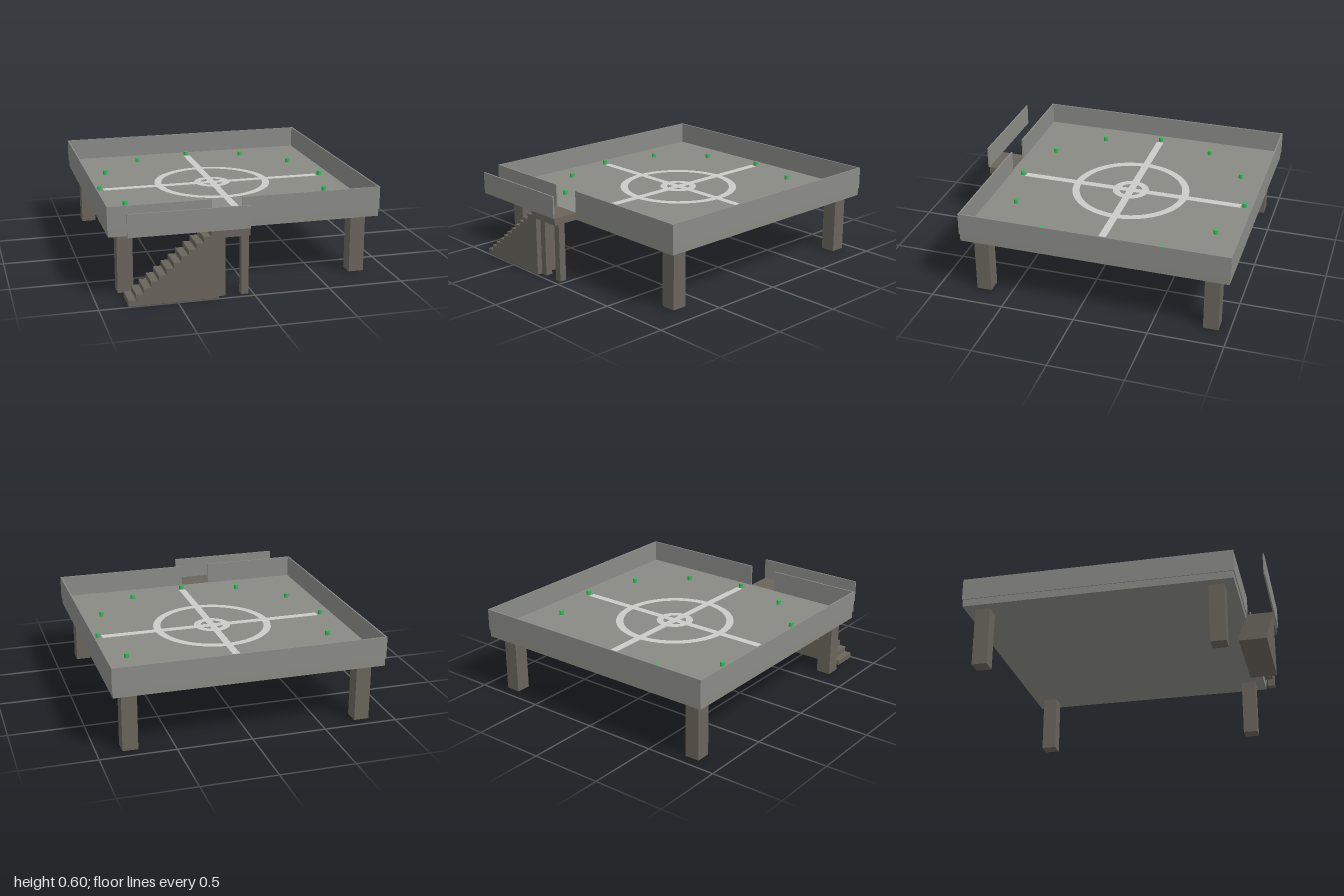
import * as THREE from 'three';

export function createModel() {
  const model = new THREE.Group();
  const mat = (name, color, side = THREE.FrontSide) => {
    const m = new THREE.MeshStandardMaterial({ color, side });
    m.name = name;
    return m;
  };
  const deckGrey = mat('deckGrey', 0x8a8a84);
  const wallGrey = mat('wallGrey', 0x8a8a87);
  const darkBrown = mat('darkBrown', 0x69655c);
  const paintWhite = mat('paintWhite', 0xcbcbc7);
  const pegGreen = mat('pegGreen', 0x3cb45f);

  // Box given by its minimum and maximum corners
  const box = (name, material, [x0, y0, z0], [x1, y1, z1], parent = model) => {
    const mesh = new THREE.Mesh(new THREE.BoxGeometry(x1 - x0, y1 - y0, z1 - z0), material);
    mesh.position.set((x0 + x1) / 2, (y0 + y1) / 2, (z0 + z1) / 2);
    mesh.name = name;
    parent.add(mesh);
    return mesh;
  };
  const group = (name) => {
    const g = new THREE.Group();
    g.name = name;
    model.add(g);
    return g;
  };

  const DECK = 0.45, UNDER = 0.4, TOP = 0.6, CZ = -0.093;
  const back = -1, front = 0.815, half = 0.905, t = 0.01;

  // Deck slab and its four legs
  box('deck', deckGrey, [-0.9, UNDER, back + 0.005], [0.9, DECK, front - 0.005]);
  const legs = group('legs');
  for (const sx of [-1, 1]) for (const sz of [-1, 1]) {
    const x = sx * 0.786, z = CZ + sz * 0.784;
    box('leg', darkBrown, [x - 0.051, 0, z - 0.051], [x + 0.051, UNDER, z + 0.051], legs);
  }

  // Parapet walls, with an opening at the stair landing
  const walls = group('walls');
  box('backWall', wallGrey, [-half, DECK, back], [half, TOP, back + t], walls);
  for (const s of [-1, 1]) {
    const x = s * (half - t / 2);
    box('sideWall', wallGrey, [x - t / 2, DECK, back + t], [x + t / 2, TOP, front - t], walls);
  }
  box('frontWallShort', wallGrey, [-half, DECK, front - t], [-0.235, TOP, front], walls);
  box('frontWallLong', wallGrey, [-0.03, DECK, front - t], [half, TOP, front], walls);
  box('stairWall', wallGrey, [-0.812, DECK, 0.99], [-0.03, TOP, 1], walls);

  // Stairs: solid columns rising toward the landing
  const stairs = group('stairs');
  const steps = 12, x0 = -0.812, run = 0.048, rise = DECK / steps;
  for (let i = 0; i < steps; i++) {
    const h = i === steps - 1 ? UNDER : rise * (i + 1);
    box('step', darkBrown, [x0 + i * run, 0, front], [x0 + (i + 1) * run, h, 0.99], stairs);
  }
  box('landing', darkBrown, [-0.284, UNDER, front - 0.005], [-0.03, DECK, 0.99], stairs);
  for (const x of [-0.207, -0.055]) {
    box('landingPost', darkBrown, [x - 0.024, 0, 0.91], [x + 0.024, UNDER, 0.958], stairs);
  }

  // Painted cross and rings
  const markings = group('markings');
  box('crossBarWide', paintWhite, [-0.782, DECK, CZ - 0.025], [0.782, DECK + 0.003, CZ + 0.025], markings);
  for (const s of [-1, 1]) {
    const a = CZ + s * 0.025, b = CZ + s * 0.785;
    box('crossBarLong', paintWhite, [-0.025, DECK, Math.min(a, b)], [0.025, DECK + 0.003, Math.max(a, b)], markings);
  }
  for (const [inner, outer] of [[0.36, 0.411], [0.08, 0.127]]) {
    const ring = new THREE.Mesh(new THREE.RingGeometry(inner, outer, 48), paintWhite);
    ring.rotation.x = -Math.PI / 2;
    ring.position.set(0, DECK + 0.004, CZ);
    ring.name = 'paintedRing';
    markings.add(ring);
  }

  // Circle of twelve small pegs
  const pegs = group('pegs');
  const pegGeometry = new THREE.CylinderGeometry(0.016, 0.016, 0.03, 16);
  for (let i = 0; i < 12; i++) {
    const a = (i * Math.PI) / 6;
    const peg = new THREE.Mesh(pegGeometry, pegGreen);
    peg.position.set(0.81 * Math.cos(a), DECK + 0.015, CZ + 0.81 * Math.sin(a));
    peg.name = 'peg';
    pegs.add(peg);
  }
  return model;
}
